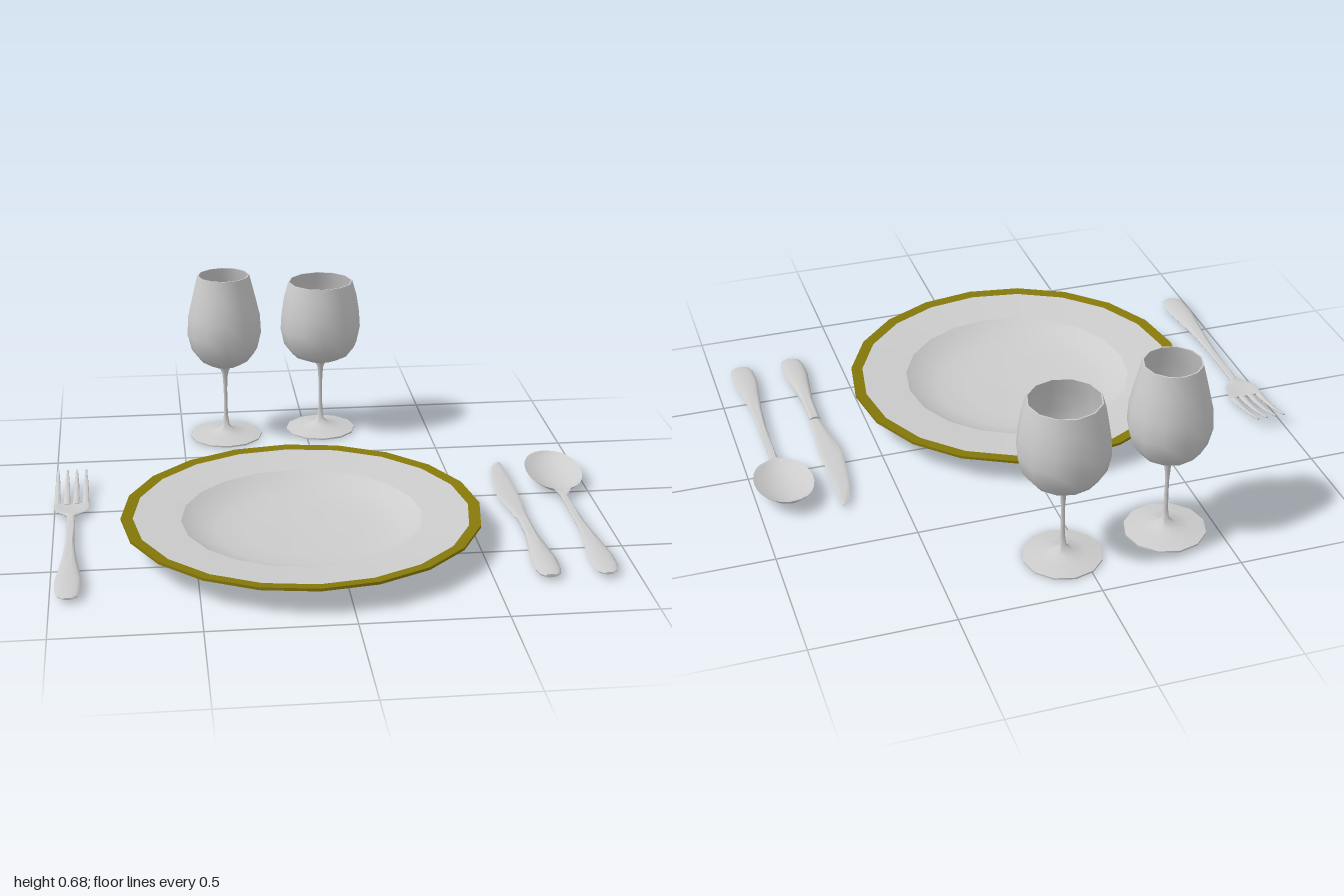
import * as THREE from 'three';
import { toCreasedNormals } from 'three/addons/utils/BufferGeometryUtils.js';

const grey = new THREE.MeshStandardMaterial({ color: 0xcccccc });
grey.name = 'palegrey';
const gold = new THREE.MeshStandardMaterial({ color: 0x85780a });
gold.name = 'olivegold';

function add(parent, name, geometry, material = grey) {
  const mesh = new THREE.Mesh(geometry, material);
  mesh.name = name;
  parent.add(mesh);
  return mesh;
}

function group(parent, name, x, z) {
  const g = new THREE.Group();
  g.name = name;
  g.position.set(x, 0, z);
  parent.add(g);
  return g;
}

const lathe = (points, sides) =>
  new THREE.LatheGeometry(points.map(([r, y]) => new THREE.Vector2(r, y)), sides);

// Skin over cross-sections running from +z to -z.
// Row: [z, half width, middle y, half thickness, sag of the middle, x offset]
function loft(rows, crease = 0.9) {
  const n = 8, count = n * 2, pos = [], index = [];
  for (const [z, w, y, t, sag = 0, cx = 0] of rows) {
    for (let j = 0; j < count; j++) {
      const a = (j / count) * Math.PI * 2;
      const u = Math.cos(a);
      pos.push(cx + w * u, y - sag * (1 - u * u) + t * Math.sin(a), z);
    }
  }
  for (let i = 0; i < rows.length - 1; i++) {
    for (let j = 0; j < count; j++) {
      const k = (j + 1) % count;
      const a = i * count + j, b = i * count + k;
      index.push(a, a + count, b, b, a + count, b + count);
    }
  }
  const last = (rows.length - 1) * count;
  for (let j = 0; j < n - 1; j++) {
    // end caps, stitched across in strips
    const a = j, b = j + 1, c = count - 1 - j, d = count - 2 - j;
    index.push(a, b, c, b, d, c);
    index.push(last + a, last + c, last + b, last + b, last + c, last + d);
  }
  const g = new THREE.BufferGeometry();
  g.setAttribute('position', new THREE.Float32BufferAttribute(pos, 3));
  g.setIndex(index);
  return toCreasedNormals(g, crease);
}

// Broad rounded end narrowing towards the neck
const handleRows = [
  [0.75, 0.018, 0.017, 0.004], [0.735, 0.035, 0.019, 0.007], [0.70, 0.044, 0.022, 0.01],
  [0.62, 0.046, 0.024, 0.011], [0.54, 0.036, 0.025, 0.01], [0.42, 0.022, 0.024, 0.009],
  [0.30, 0.016, 0.021, 0.008], [0.15, 0.014, 0.018, 0.007], [0.06, 0.015, 0.018, 0.007],
];

function makePlate(parent) {
  const plate = group(parent, 'plate', -0.115, 0.2875);
  const sides = 20;
  add(plate, 'plateFoot', lathe([[0, 0], [0.392, 0]], sides));
  add(plate, 'plateUnderside', lathe([[0.392, 0], [0.444, 0.065], [0.642, 0.088]], sides));
  add(plate, 'goldEdge', toCreasedNormals(
    lathe([[0.642, 0.088], [0.642, 0.098], [0.6, 0.094]], sides), 0.6), gold);
  add(plate, 'plateRim', lathe([[0.6, 0.094], [0.43, 0.077]], sides));
  add(plate, 'plateWell', lathe(
    [[0.43, 0.077], [0.38, 0.048], [0.31, 0.029], [0.2, 0.018], [0, 0.014]], sides));
}

// Foot and stem are shared; the bowl outline is [radius, y] from bottom to lip
function makeGlass(parent, name, x, z, footR, bowl) {
  const glass = group(parent, name, x, z);
  const foot = [
    [0, 0], [footR, 0], [footR, 0.006], [footR * 0.6, 0.016], [0.035, 0.026],
    [0.014, 0.045], [0.008, 0.09], [0.007, 0.2], [0.011, 0.265], [0.022, 0.292],
  ];
  add(glass, 'footAndStem', toCreasedNormals(lathe(foot, 12), 0.9));
  const inside = bowl.slice(1).reverse().map(([r, y]) => [r - 0.005, y + 0.002]);
  inside[0][1] -= 0.002;
  add(glass, 'bowl', toCreasedNormals(
    lathe([...bowl, ...inside, [0, 0.31]], 12), 0.9));
}

function makeFork(parent) {
  const fork = group(parent, 'fork', -0.938, 0);
  add(fork, 'forkHandle', loft(handleRows));
  add(fork, 'forkHead', loft([
    [0.07, 0.015, 0.018, 0.007], [0.05, 0.032, 0.019, 0.006, 0.002], [0.035, 0.052, 0.02, 0.005, 0.005],
    [0.01, 0.062, 0.02, 0.005, 0.008], [-0.025, 0.064, 0.018, 0.004, 0.008], [-0.05, 0.064, 0.019, 0.004, 0.006],
  ]));
  for (let i = 0; i < 4; i++) {
    const cx = (i - 1.5) * 0.035;
    add(fork, 'forkTine', loft([
      [-0.045, 0.0135, 0.015, 0.004, 0, cx], [-0.11, 0.011, 0.02, 0.004, 0, cx],
      [-0.19, 0.009, 0.034, 0.004, 0, cx], [-0.275, 0.004, 0.058, 0.003, 0, cx],
    ]));
  }
}

function makeSpoon(parent) {
  const spoon = group(parent, 'spoon', 0.89, 0);
  add(spoon, 'spoonHandle', loft(handleRows));
  // Egg-shaped shell, wider towards the tip
  const rows = [[0.075, 0.015, 0.019, 0.006]];
  const steps = 12;
  for (let i = 1; i < steps; i++) {
    const a = (i / steps) * Math.PI;
    const s = Math.sin(a), z = -0.112 + 0.16 * Math.cos(a);
    rows.push([z, 0.106 * Math.pow(s, 0.85), 0.038 - 0.09 * z, 0.003, 0.036 * s]);
  }
  rows.push([-0.272, 0.008, 0.061, 0.002]);
  add(spoon, 'spoonBowl', loft(rows));
}

function makeKnife(parent) {
  const knife = group(parent, 'knife', 0.69, 0);
  add(knife, 'knifeHandle', loft([
    [0.75, 0.022, 0.018, 0.006], [0.735, 0.036, 0.019, 0.01], [0.70, 0.044, 0.02, 0.014],
    [0.62, 0.046, 0.021, 0.015], [0.54, 0.036, 0.022, 0.015], [0.42, 0.022, 0.023, 0.014],
    [0.28, 0.021, 0.024, 0.012],
  ]));
  add(knife, 'knifeBlade', loft([
    [0.285, 0.02, 0.022, 0.007, 0, 0.002], [0.2, 0.027, 0.02, 0.005, 0, -0.003],
    [0.12, 0.036, 0.02, 0.004, 0, -0.006], [0.05, 0.041, 0.019, 0.004, 0, -0.009],
    [-0.08, 0.036, 0.018, 0.004, 0, -0.004], [-0.18, 0.030, 0.017, 0.004, 0, 0.002],
    [-0.25, 0.020, 0.016, 0.003, 0, 0.011], [-0.275, 0.011, 0.016, 0.002, 0, 0.018],
    [-0.285, 0.004, 0.016, 0.001, 0, 0.021],
  ]));
}

export function createModel() {
  const model = new THREE.Group();
  model.name = 'placeSetting';
  makePlate(model);
  makeGlass(model, 'tallGlass', -0.325, -0.738, 0.145, [
    [0.022, 0.292], [0.06, 0.306], [0.1, 0.33], [0.131, 0.37], [0.147, 0.435],
    [0.143, 0.51], [0.122, 0.6], [0.103, 0.677],
  ]);
  makeGlass(model, 'wideGlass', 0.065, -0.775, 0.14, [
    [0.022, 0.292], [0.065, 0.304], [0.112, 0.325], [0.147, 0.37], [0.161, 0.435],
    [0.157, 0.5], [0.146, 0.57], [0.129, 0.629],
  ]);
  makeFork(model);
  makeKnife(model);
  makeSpoon(model);
  return model;
}
